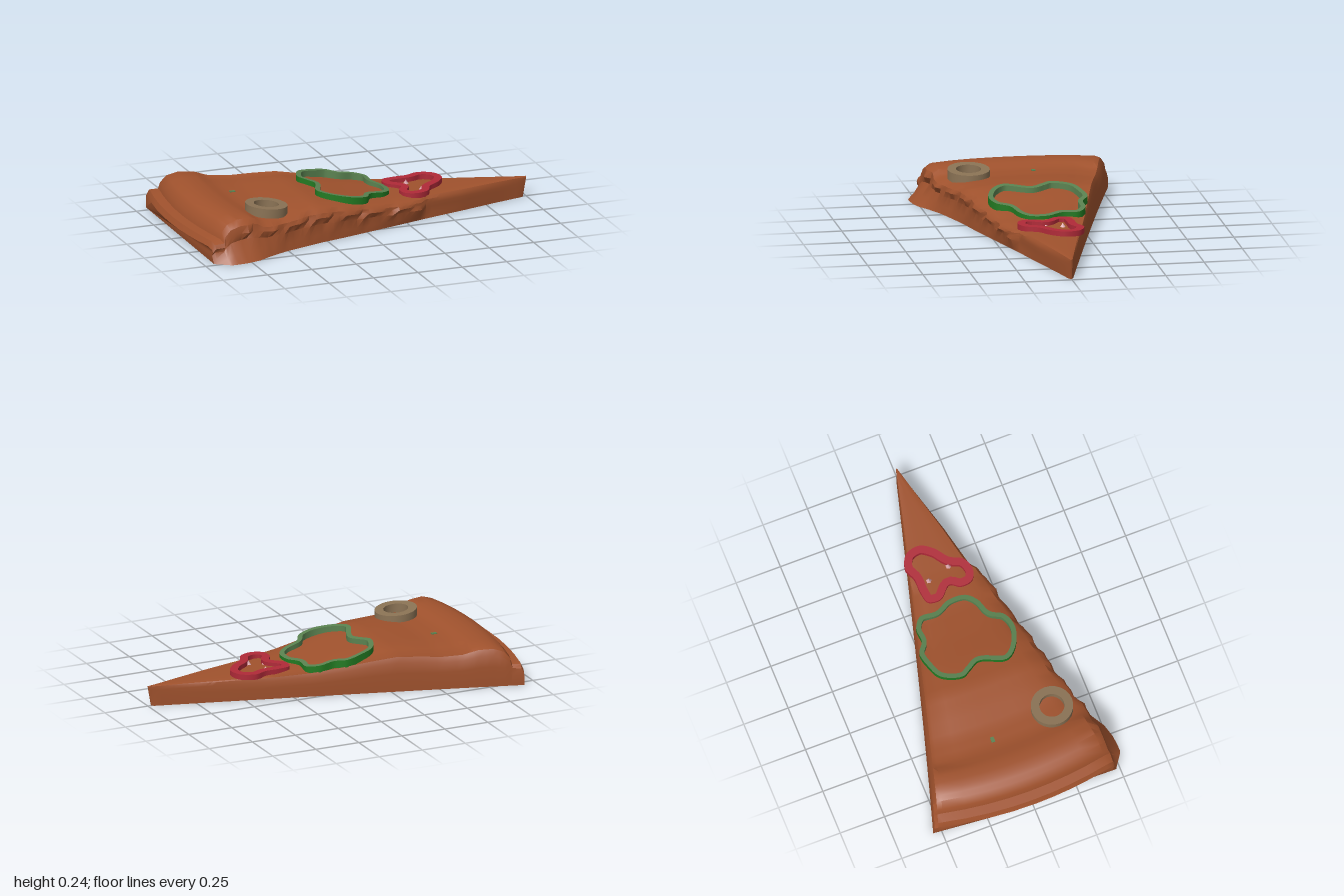
import * as THREE from 'three';
import { toCreasedNormals } from 'three/addons/utils/BufferGeometryUtils.js';

const material = (name, color) => {
  const m = new THREE.MeshStandardMaterial({ color });
  m.name = name;
  return m;
};

// Skin a list of equal-length cross-sections (arrays of [x, y, z])
function loft(sections, { loop = false, tube = false, caps = false, crease = 0.6 } = {}) {
  const n = sections[0].length, count = sections.length, index = [];
  const rows = loop ? count : count - 1, cols = tube ? n : n - 1;
  for (let i = 0; i < rows; i++) {
    for (let j = 0; j < cols; j++) {
      const i2 = (i + 1) % count, j2 = (j + 1) % n;
      const a = i * n + j, b = i * n + j2, c = i2 * n + j, d = i2 * n + j2;
      index.push(a, b, c, b, d, c);
    }
  }
  if (caps) {
    const end = (count - 1) * n;
    for (let j = 1; j < n - 1; j++) {
      index.push(0, j + 1, j);
      index.push(end, end + j, end + j + 1);
    }
  }
  const g = new THREE.BufferGeometry();
  g.setAttribute('position', new THREE.Float32BufferAttribute(sections.flat(2), 3));
  g.setIndex(index);
  return toCreasedNormals(g, crease);
}

// Stations from crust to tip: x, top height, front top edge z, front bottom edge z
const STATIONS = [
  [-1, 0.085, 0.47, 0.48], [-0.985, 0.115, 0.475, 0.49], [-0.935, 0.12, 0.48, 0.53],
  [-0.925, 0.155, 0.475, 0.535], [-0.89, 0.195, 0.47, 0.535], [-0.83, 0.215, 0.465, 0.53],
  [-0.75, 0.213, 0.45, 0.51], [-0.66, 0.19, 0.44, 0.465], [-0.55, 0.185, 0.41, 0.42],
  [-0.42, 0.195, 0.37, 0.38], [-0.3, 0.2, 0.345, 0.345], [-0.15, 0.18, 0.315, 0.31],
  [0, 0.155, 0.275, 0.27], [0.15, 0.135, 0.245, 0.23], [0.33, 0.125, 0.205, 0.18],
  [0.37, 0.122, 0.168, 0.168], [0.6, 0.118, 0.115, 0.11], [0.8, 0.115, 0.06, 0.055],
  [1, 0.11, 0.006, 0.006],
];

function sliceSection([x, top, zTop, zBottom]) {
  const back = -0.272 * (1 - x) - 0.002;
  // cheese sags at the edges, mostly over the middle of the slice
  const sag = x > -0.7 && x < 0.35 ? 0.14 : 0.04;
  // drips along the cut front edge
  const drip = x > -0.96 && x < 0.34 ? 0.009 * Math.sin(x * 37) + 0.006 * Math.sin(x * 71 + 1) : 0;
  const pts = [[back, 0], [back, top * 0.5], [back * 0.985, top * 0.78], [back * 0.95, top * 0.93]];
  for (let k = 0; k <= 8; k++) {
    const v = -0.9 + (1.8 * k) / 8;
    pts.push([v < 0 ? -v * back : v * zTop, top * (1 - sag * v ** 4)]);
  }
  pts.push(
    [zTop * 0.98 + drip * 0.5, top * (0.88 - sag * 0.6)],
    [zTop + drip, top * 0.68],
    [zTop * 0.97 + zBottom * 0.01 - drip * 0.6, top * 0.5],
    [zTop * 0.5 + zBottom * 0.49, top * 0.22],
    [zBottom, 0],
  );
  return pts.map(([z, y]) => {
    const bend = ((z * z) / 4.2) * ((1 - x) / 2);       // rounded outer rim
    const slant = x > 0.99 ? 0.02 * (1 - y / top) : 0;  // slanted tip
    return [x + bend - slant, y, z];
  });
}

function sliceGeometry() {
  const sections = [];
  STATIONS.forEach((s, i) => {
    const next = STATIONS[i + 1];
    const steps = next ? Math.max(1, Math.round((next[0] - s[0]) / 0.035)) : 1;
    for (let k = 0; k < steps; k++) {
      sections.push(sliceSection(next ? s.map((v, c) => v + ((next[c] - v) * k) / steps) : s));
    }
  });
  return loft(sections, { tube: true, caps: true, crease: 0.55 });
}

// Cut vegetable ring following an outline of [x, z]; topAt gives its tilted top plane
function ring(name, outline, { width, height, topAt, outer, inner, samples = 72 }) {
  const curve = new THREE.CatmullRomCurve3(outline.map(([x, z]) => new THREE.Vector3(x, 0, z)), true);
  const skin = [], flesh = [];
  for (let i = 0; i < samples; i++) {
    const p = curve.getPoint(i / samples), t = curve.getTangent(i / samples);
    const x = p.x - t.z * width, z = p.z + t.x * width;
    const y = topAt(p.x), yi = topAt(x);
    const ob = [p.x, y - height, p.z], ot = [p.x, y, p.z];
    skin.push([ob, ot]);
    flesh.push([ot, [x, yi, z], [x, yi - height, z], ob]);
  }
  const group = new THREE.Group();
  group.name = name;
  [['Skin', skin, outer], ['Flesh', flesh, inner]].forEach(([part, sections, mat]) => {
    const mesh = new THREE.Mesh(loft(sections, { loop: true }), mat);
    mesh.name = name + part;
    group.add(mesh);
  });
  return group;
}

export function createModel() {
  const brown = material('baked brown', 0xa0522d);
  const green = material('green pepper skin', 0x227a22);
  const paleGreen = material('green pepper flesh', 0x5a8250);
  const red = material('red pepper', 0xb02a38);
  const tan = material('tan ring', 0x8b7355);
  const pink = material('pale pink seed', 0xd9a3aa);

  const model = new THREE.Group();
  model.name = 'pizzaSlice';

  // Dough, crust and cheese
  const slice = new THREE.Mesh(sliceGeometry(), brown);
  slice.name = 'sliceBody';
  model.add(slice);

  // Green pepper ring, leaning down towards the tip
  model.add(ring('greenPepper', [
    [-0.245, -0.11], [-0.2, -0.22], [-0.11, -0.26], [-0.03, -0.272], [0.03, -0.235], [0.11, -0.235],
    [0.17, -0.19], [0.168, -0.1], [0.205, -0.02], [0.2, 0.075], [0.15, 0.125], [0.06, 0.16],
    [0.015, 0.225], [-0.075, 0.25], [-0.19, 0.205], [-0.237, 0.14], [-0.19, 0], [-0.22, -0.06],
  ], { width: 0.026, height: 0.05, topAt: x => 0.183 - 0.16 * x, outer: green, inner: paleGreen, samples: 108 }));

  // Red pepper ring
  model.add(ring('redPepper', [
    [0.235, -0.12], [0.3, -0.137], [0.38, -0.14], [0.45, -0.165], [0.525, -0.13], [0.545, -0.05],
    [0.5, 0.02], [0.43, 0.075], [0.395, 0.14], [0.325, 0.167], [0.265, 0.14], [0.255, 0.075],
    [0.285, 0.02], [0.225, -0.05],
  ], { width: 0.042, height: 0.03, topAt: () => 0.146, outer: red, inner: red }));

  // Seeds inside the red pepper
  [[0.35, -0.07], [0.315, 0.015], [0.39, 0.055]].forEach(([x, z], i) => {
    const seed = new THREE.Mesh(new THREE.ConeGeometry(0.016, 0.022, 5), pink);
    seed.name = 'seed' + (i + 1);
    seed.position.set(x, 0.134, z);
    model.add(seed);
  });

  // Tan ring near the crust
  const circle = Array.from({ length: 12 }, (_, i) => {
    const a = (i / 12) * Math.PI * 2;
    return [-0.567 - 0.112 * Math.cos(a), 0.265 - 0.112 * Math.sin(a)];
  });
  model.add(ring('oliveRing', circle, {
    width: 0.046, height: 0.05, topAt: x => 0.174 - 0.09 * x, outer: tan, inner: tan, samples: 24,
  }));

  // Small herb fleck on the cheese
  const fleck = new THREE.Mesh(new THREE.BoxGeometry(0.03, 0.008, 0.02), paleGreen);
  fleck.name = 'herbFleck';
  fleck.position.set(-0.62, 0.188, -0.09);
  model.add(fleck);

  return model;
}
